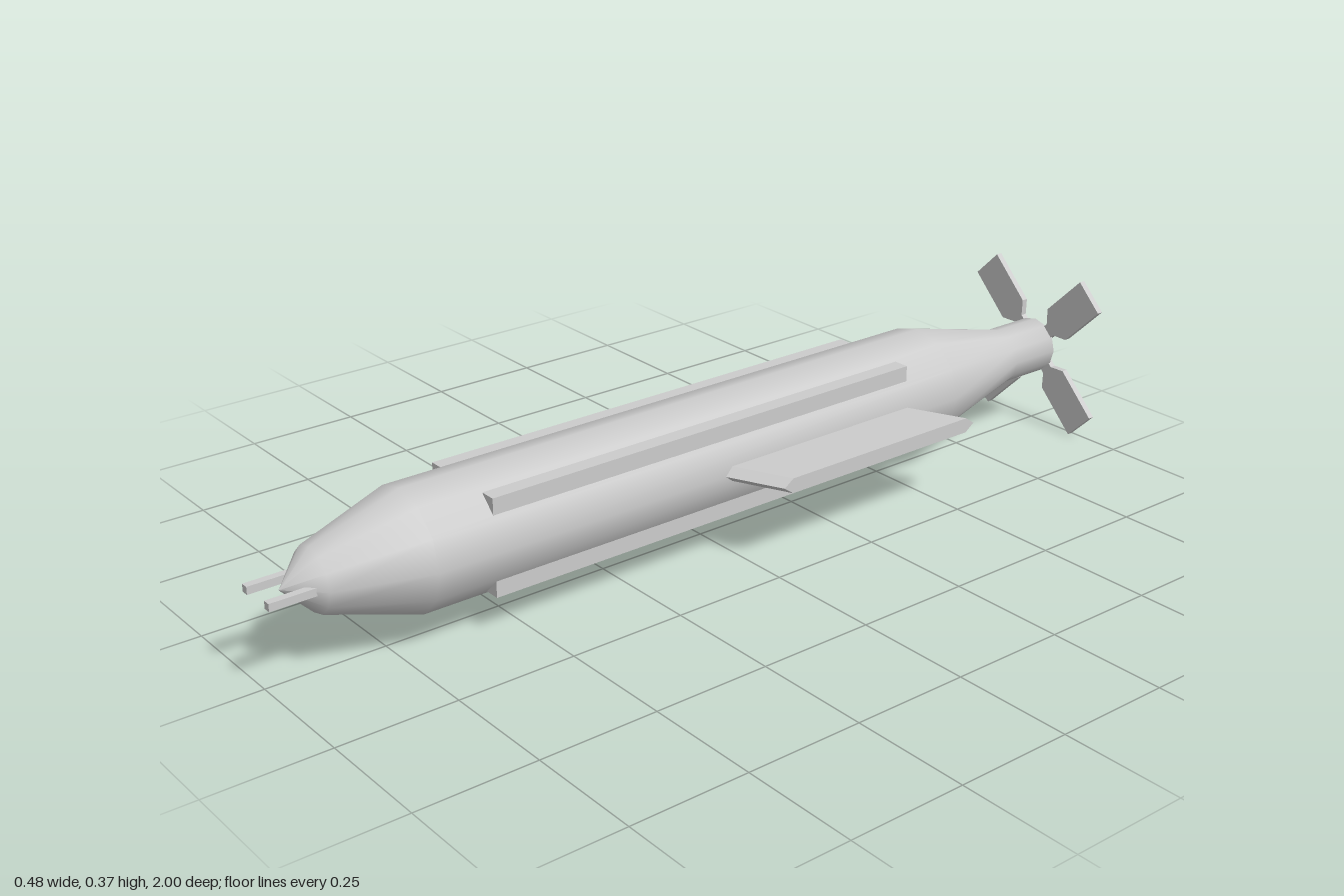
import * as THREE from 'three';

const CY = 0.186; // height of the body axis

export function createModel() {
  const model = new THREE.Group();
  const smooth = new THREE.MeshStandardMaterial({ color: 0xcccccc });
  const flat = new THREE.MeshStandardMaterial({ color: 0xcccccc, flatShading: true });

  const add = (name, geometry, material = flat) => {
    const mesh = new THREE.Mesh(geometry, material);
    mesh.name = name;
    mesh.position.y = CY;
    model.add(mesh);
    return mesh;
  };
  const polygon = (points) => new THREE.Shape(points.map(([x, y]) => new THREE.Vector2(x, y)));

  // Twelve-sided body, profile as [radius, z] from tail to nose
  const profile = [
    [0, -0.998], [0.062, -0.99], [0.062, -0.87], [0.125, -0.61],
    [0.125, 0.7], [0.066, 0.89], [0, 0.955],
  ].map(([r, z]) => new THREE.Vector2(r, z));
  const body = new THREE.LatheGeometry(profile, 12);
  body.rotateX(Math.PI / 2);
  add('body', body, smooth);

  // Swept wings: hexagonal section extruded outwards, then sheared backwards
  const chord = polygon([
    [-0.035, 0], [-0.013, -0.016], [0.468, -0.016],
    [0.49, 0], [0.468, 0.016], [-0.013, 0.016],
  ]);
  const wing = new THREE.ExtrudeGeometry(chord, { depth: 0.15, bevelEnabled: false });
  wing.rotateY(Math.PI / 2);
  wing.translate(0.09, 0, 0);
  const p = wing.attributes.position;
  for (let i = 0; i < p.count; i++) p.setZ(i, p.getZ(i) - 0.47 * (p.getX(i) - 0.125));
  add('leftWing', wing);
  add('rightWing', wing).rotation.z = Math.PI;

  // Long square strakes along the four diagonals
  for (const sx of [-1, 1]) {
    for (const sy of [-1, 1]) {
      const strake = new THREE.BoxGeometry(0.04, 0.04, 1.045);
      strake.translate(sx * 0.083, sy * 0.082, 0.045);
      add(`${sy > 0 ? 'upper' : 'lower'}${sx > 0 ? 'Left' : 'Right'}Strake`, strake);
    }
  }

  // Tail blades with narrow necks
  const blade = new THREE.ExtrudeGeometry(polygon([
    [0.04, -0.015], [0.07, -0.015], [0.095, -0.041], [0.22, -0.041],
    [0.22, 0.041], [0.095, 0.041], [0.07, 0.015], [0.04, 0.015],
  ]), { depth: 0.014, bevelEnabled: false });
  blade.translate(0, 0, -1);
  for (let i = 0; i < 4; i++) add('tailBlade', blade).rotation.z = Math.PI / 4 + i * Math.PI / 2;

  // Twin nose probes
  for (const sx of [-1, 1]) {
    const probe = new THREE.BoxGeometry(0.016, 0.016, 0.14);
    probe.translate(sx * 0.041, 0, 0.93);
    add(sx > 0 ? 'leftProbe' : 'rightProbe', probe);
  }

  return model;
}
